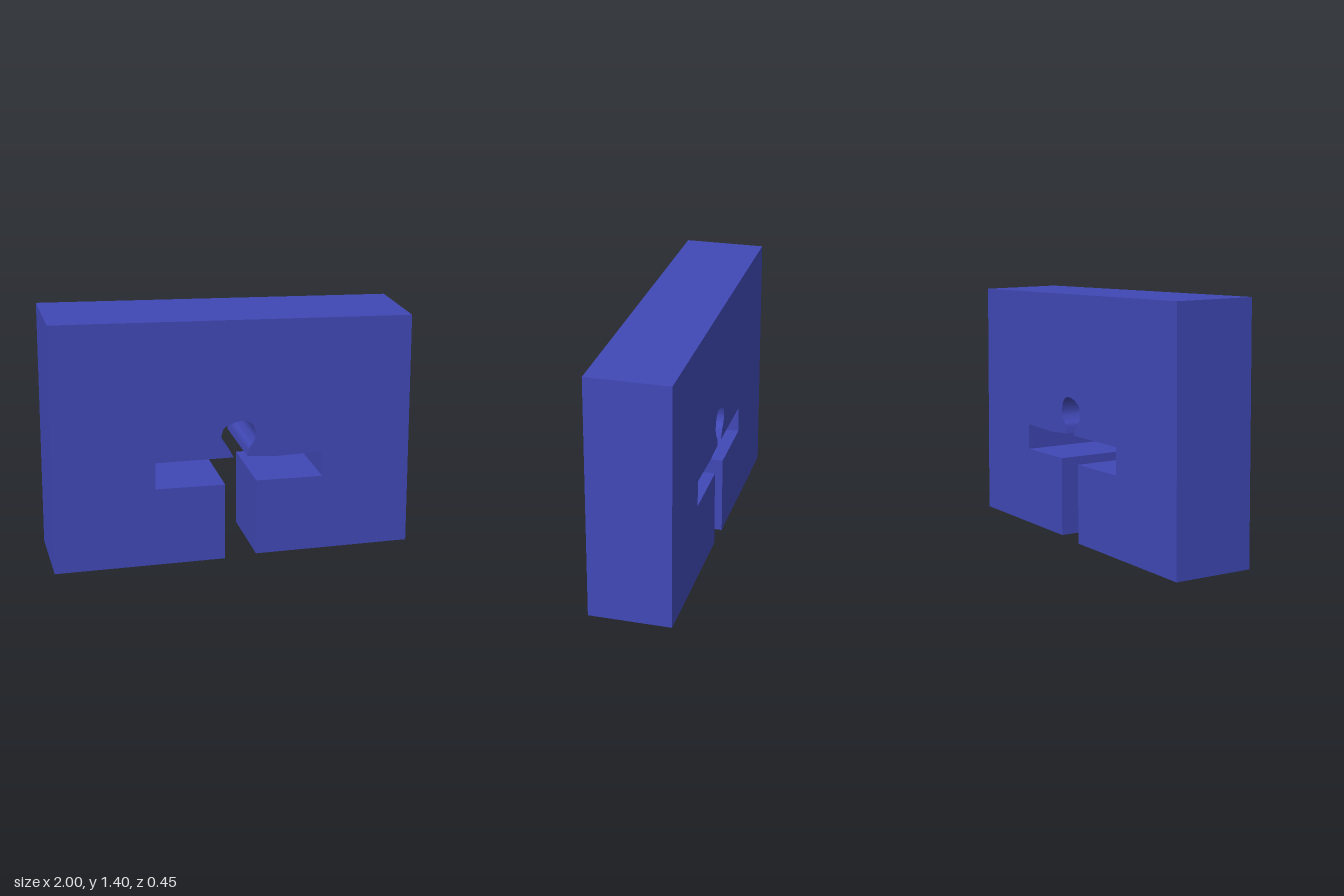
import * as THREE from 'three';

export function createModel() {
  const depth = 0.45;
  const group = new THREE.Group();
  const points = (list) => list.map(([x, y]) => new THREE.Vector2(x, y));

  // Slightly skewed block outline, running anticlockwise from the slot
  const shape = new THREE.Shape();
  shape.moveTo(0.12, 0.01);
  shape.lineTo(1, 0);
  shape.lineTo(0.98, 1.325);
  shape.lineTo(-0.985, 1.4);
  shape.lineTo(-1, 0.012);
  shape.lineTo(-0.055, 0);

  // Slot and left arm of the cut-out
  shape.lineTo(-0.055, 0.44);
  shape.lineTo(-0.44, 0.45);
  shape.lineTo(-0.438, 0.6);
  shape.lineTo(-0.008, 0.594);

  // Rounded head of the cut-out
  shape.lineTo(-0.035, 0.647);
  shape.splineThru(points([
    [-0.063, 0.673], [-0.076, 0.715], [-0.062, 0.763], [-0.03, 0.782],
    [0.02, 0.798], [0.07, 0.793], [0.103, 0.765], [0.115, 0.71],
    [0.1, 0.668], [0.078, 0.64], [0.068, 0.594],
  ]));

  // Right arm of the cut-out
  shape.splineThru(points([[0.14, 0.588], [0.23, 0.58]]));
  shape.lineTo(0.492, 0.583);
  shape.lineTo(0.495, 0.438);
  shape.lineTo(0.12, 0.447);
  shape.closePath();

  const geometry = new THREE.ExtrudeGeometry(shape, {
    depth, bevelEnabled: false, curveSegments: 4,
  });
  geometry.translate(0, 0, -depth / 2);

  const block = new THREE.Mesh(geometry, new THREE.MeshStandardMaterial({ color: 0x4048b5 }));
  block.name = 'slottedBlock';
  group.add(block);
  return group;
}
